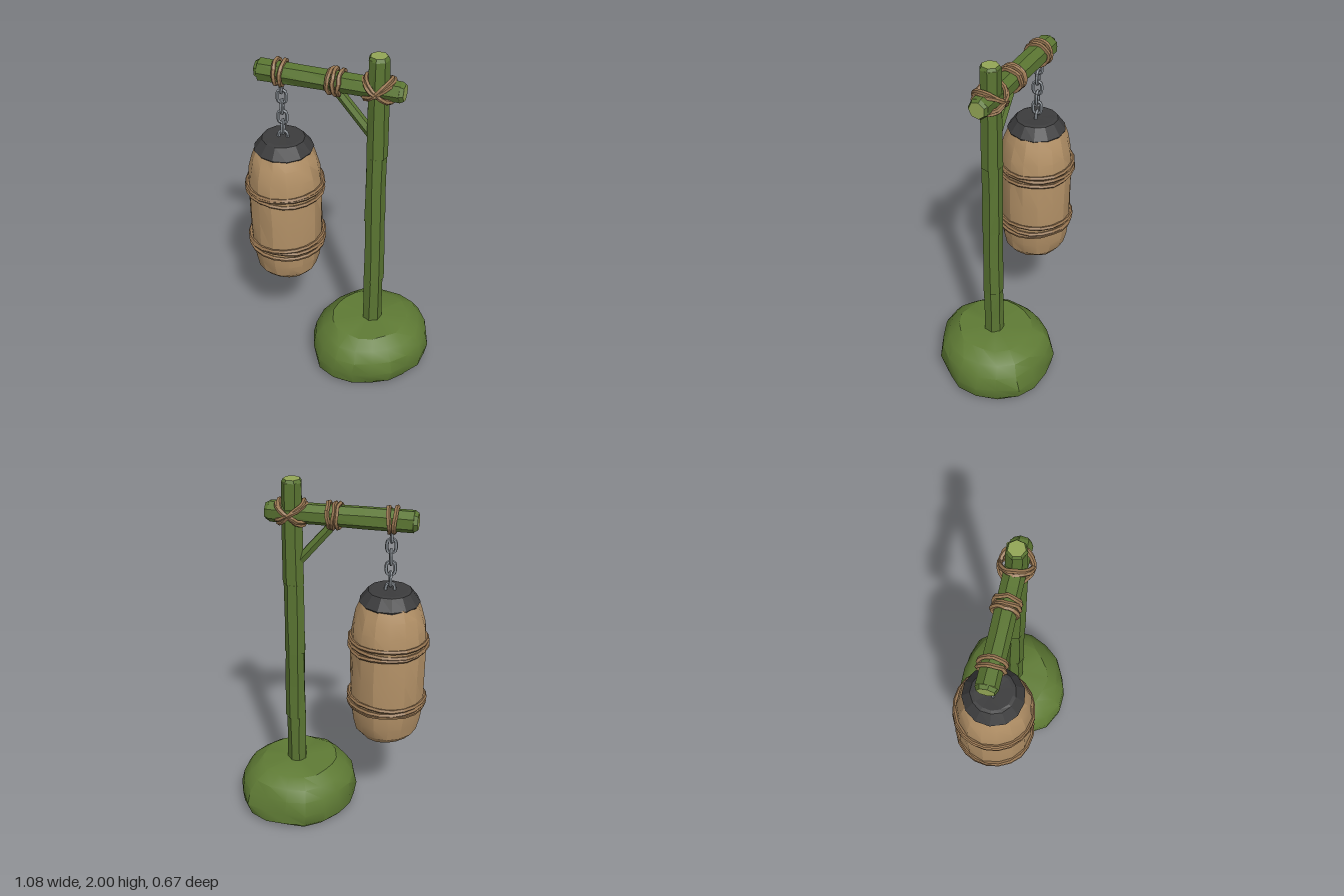
import * as THREE from 'three';
import { toCreasedNormals } from 'three/addons/utils/BufferGeometryUtils.js';

const material = (name, color) => {
  const m = new THREE.MeshStandardMaterial({ color });
  m.name = name;
  return m;
};

// Repeatable offset from a position, so that shared corners move together
function wobble(x, y, z, k) {
  const r = (v) => Math.round(v * 1000) / 1000;
  const s = Math.sin(r(x) * 127.1 + r(y) * 311.7 + r(z) * 74.7 + k * 19.3) * 437.58;
  return (s - Math.floor(s)) * 2 - 1;
}

function roughen(geo, amount, seed = 0) {
  const p = geo.attributes.position;
  for (let i = 0; i < p.count; i++) {
    const [x, y, z] = [p.getX(i), p.getY(i), p.getZ(i)];
    p.setXYZ(i, x + amount * wobble(x, y, z, seed + 1),
      y + amount * 0.5 * wobble(x, y, z, seed + 2),
      z + amount * wobble(x, y, z, seed + 3));
  }
  return geo;
}

const faceted = (geo) => toCreasedNormals(geo, 0.02);

function add(parent, name, geo, mat, x = 0, y = 0, z = 0) {
  const mesh = new THREE.Mesh(geo, mat);
  mesh.name = name;
  mesh.position.set(x, y, z);
  parent.add(mesh);
  return mesh;
}

const lathe = (pts, sides) =>
  new THREE.LatheGeometry(pts.map(([r, y]) => new THREE.Vector2(r, y)), sides);

// Uneven rope ring around the y axis
function ropeRing(radius, thick, seed, rise) {
  const pts = [];
  for (let i = 0; i < 14; i++) {
    const a = (i / 14) * Math.PI * 2;
    const r = radius + thick * 0.3 * wobble(i, seed, 0, 1);
    pts.push(new THREE.Vector3(Math.cos(a) * r,
      rise * Math.sin(a + seed * 2.1) + thick * 0.35 * wobble(i, seed, 0, 2), Math.sin(a) * r));
  }
  const curve = new THREE.CatmullRomCurve3(pts, true);
  return faceted(new THREE.TubeGeometry(curve, 20, thick, 5, true));
}

// Stretched chain link standing in the xy plane
function chainLink() {
  const pts = [];
  for (let i = 0; i < 12; i++) {
    const a = (i / 12) * Math.PI * 2;
    pts.push(new THREE.Vector3(Math.cos(a) * 0.024,
      Math.sin(a) * 0.024 + Math.sign(Math.round(Math.sin(a) * 100)) * 0.015, 0));
  }
  const curve = new THREE.CatmullRomCurve3(pts, true);
  return faceted(new THREE.TubeGeometry(curve, 14, 0.0095, 5, true));
}

export function createModel() {
  const model = new THREE.Group();
  model.name = 'hangingLantern';

  const moss = material('moss green', 0x5f7b35);
  const wood = material('green wood', 0x5a7532);
  const cut = material('pale cut wood', 0x93a656);
  const cloth = material('tan cloth', 0xb39167);
  const rope = material('rope', 0x957450);
  const iron = material('dark iron', 0x3c3c3d);
  const steel = material('chain steel', 0x868c92);
  const log = [wood, cut, cut];

  // Boulder base: a lathe pushed out to an uneven outline
  const outline = [0.335, 0.315, 0.315, 0.32, 0.335, 0.34, 0.355, 0.365, 0.345,
    0.34, 0.35, 0.34, 0.325, 0.335, 0.345, 0.345, 0.35, 0.35];
  const rock = lathe([[0, 0.005], [0.9, 0.007], [0.975, 0.03], [1, 0.1], [0.96, 0.18],
    [0.83, 0.24], [0.64, 0.285], [0, 0.29]], 18);
  const rp = rock.attributes.position;
  for (let i = 0; i < rp.count; i++) {
    const x = rp.getX(i), z = rp.getZ(i);
    const step = (Math.round(Math.atan2(x, z) / (Math.PI / 9)) + 18) % 18;
    rp.setX(i, x * outline[step]);
    rp.setZ(i, z * outline[step]);
  }
  roughen(rock, 0.009);
  add(model, 'boulderBase', toCreasedNormals(rock, 0.55), moss, 0.2, 0, 0);

  // Post: stacked logs with small pale steps at the joints
  const post = new THREE.Group();
  post.name = 'post';
  model.add(post);
  const joints = [0.2, 0.58, 1.0, 1.42, 1.985];
  for (let i = 0; i < 4; i++) {
    const h = joints[i + 1] - joints[i];
    const geo = roughen(new THREE.CylinderGeometry(0.056, 0.059, h, 7, 2), 0.003, i);
    add(post, 'postSection', faceted(geo), log, 0.208 + 0.002 * (i % 2), joints[i] + h / 2, 0);
  }
  add(post, 'postTopBevel', faceted(new THREE.CylinderGeometry(0.045, 0.056, 0.018, 7)),
    log, 0.21, 1.991, 0);

  // Beam with bevelled ends
  const beam = new THREE.Group();
  beam.name = 'beam';
  beam.position.set(-0.05, 1.818, 0);
  beam.rotation.z = -Math.PI / 2;
  model.add(beam);
  add(beam, 'beamLog', faceted(roughen(new THREE.CylinderGeometry(0.057, 0.06, 0.76, 7, 3), 0.004, 5)), log);
  for (const s of [-1, 1]) {
    const end = add(beam, 'beamEnd', faceted(new THREE.CylinderGeometry(0.046, 0.057, 0.02, 7)), log, 0, s * 0.39, 0);
    if (s < 0) end.rotation.x = Math.PI;
  }

  // Diagonal brace between post and beam
  const from = new THREE.Vector3(0.19, 1.535, 0), to = new THREE.Vector3(-0.025, 1.79, 0);
  const dir = to.clone().sub(from);
  const brace = add(model, 'brace',
    faceted(new THREE.CylinderGeometry(0.027, 0.029, dir.length(), 6)), wood);
  brace.position.copy(from).addScaledVector(dir, 0.5);
  brace.quaternion.setFromUnitVectors(new THREE.Vector3(0, 1, 0), dir.normalize());

  // Rope wraps along the beam
  [[-0.333, 1], [-0.302, 2], [-0.04, 3], [-0.014, 4], [0.012, 5]].forEach(([x, seed]) => {
    const ring = add(model, 'beamRope', ropeRing(0.065, 0.0125, seed, 0.006), rope, x, 1.818, 0);
    ring.rotation.z = Math.PI / 2;
  });

  // Crossed lashing where the beam meets the post
  [-0.72, -0.55, 0.55, 0.72].forEach((tilt, i) => {
    const ring = add(model, 'crossLashing', ropeRing(0.084, 0.012, i + 6, 0.004), rope, 0.215, 1.82, 0);
    ring.rotation.z = tilt;
    ring.scale.x = 1.08;
  });

  // Hanging lantern
  const lantern = new THREE.Group();
  lantern.name = 'lantern';
  lantern.position.x = -0.315;
  model.add(lantern);

  const linkGeo = chainLink();
  for (let i = 0; i < 6; i++) {
    const link = add(lantern, 'chainLink', linkGeo, steel, 0, 1.738 - i * 0.062, 0);
    link.rotation.y = i % 2 ? 0.2 : Math.PI / 2 + 0.2;
  }

  const body = lathe([[0, 0.524], [0.08, 0.528], [0.135, 0.545], [0.175, 0.59], [0.193, 0.66],
    [0.204, 0.76], [0.208, 0.95], [0.207, 1.14], [0.198, 1.23], [0.18, 1.31], [0.155, 1.37],
    [0, 1.375]], 15);
  add(lantern, 'lanternBody', toCreasedNormals(roughen(body, 0.004, 2), 0.41), cloth);

  const cap = lathe([[0, 1.358], [0.158, 1.358], [0.165, 1.368], [0.118, 1.428], [0.1, 1.432],
    [0, 1.428]], 13);
  add(lantern, 'lanternCap', faceted(roughen(cap, 0.002, 4)), iron);

  // Three loose rope turns on each band
  for (const y of [0.775, 1.13]) {
    for (let i = 0; i < 3; i++) {
      add(lantern, 'bandRope', ropeRing(0.211, 0.012, i + y * 10, 0.008), rope, 0, y + (i - 1) * 0.023, 0);
    }
  }

  return model;
}
